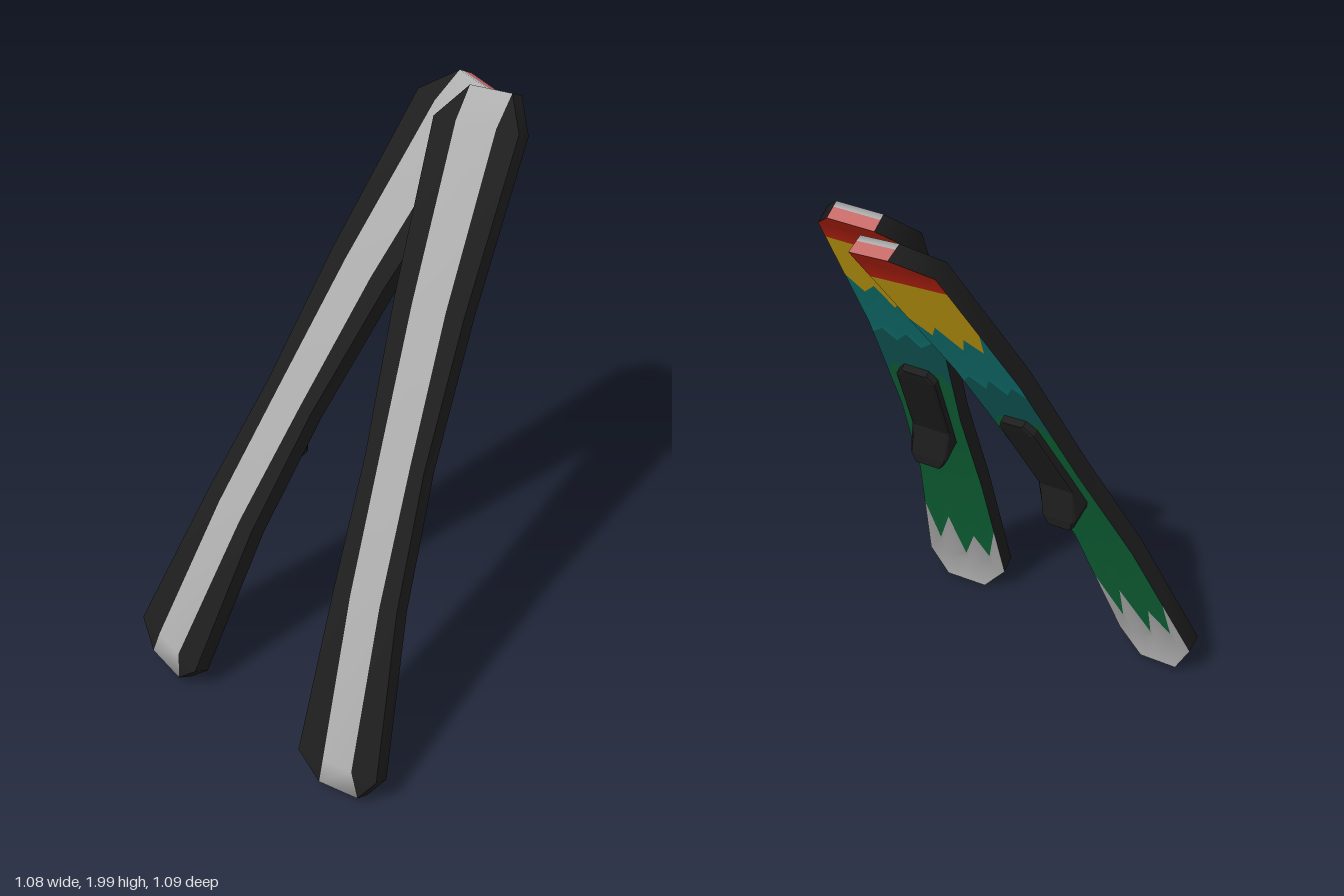
import * as THREE from 'three';

const mat = (name, color) => {
  const m = new THREE.MeshStandardMaterial({ color });
  m.name = name;
  return m;
};
const M = {
  black: mat('black', 0x1e1e1e),
  white: mat('lightGrey', 0xaeaeae),
  green: mat('green', 0x0f683a),
  darkTeal: mat('darkTeal', 0x105c5a),
  teal: mat('teal', 0x127c7a),
  yellow: mat('yellow', 0xd2aa12),
  red: mat('red', 0xcc2614),
  pink: mat('pink', 0xc46a68),
};

const THICK = 0.06;
// stations along a ski: position 0..1, bow, half width, stripe half width
const STATIONS = [
  [0, 0, 0.073, 0.073],
  [0.04, 0.04, 0.147, 0.054],
  [0.286, 0.088, 0.116, 0.054],
  [0.485, 0.09, 0.105, 0.055],
  [0.7, 0.086, 0.123, 0.059],
  [0.95, 0.044, 0.146, 0.069],
  [1, 0, 0.072, 0.072],
];
const END = STATIONS.length - 1;

function at(s) {
  let i = 0;
  while (i < END - 1 && s > STATIONS[i + 1][0]) i++;
  const a = STATIONS[i], b = STATIONS[i + 1];
  const t = (s - a[0]) / (b[0] - a[0]);
  const [bow, half, stripe] = [1, 2, 3].map((k) => a[k] + (b[k] - a[k]) * t);
  return { bow, half, stripe };
}

// sheet through rows of points, seen from the side where columns run right and rows run up
function sheet(name, rows, material, flat = false) {
  const cols = rows[0].length, index = [];
  for (let i = 0; i < rows.length - 1; i++) {
    for (let j = 0; j < cols - 1; j++) {
      const a = i * cols + j, c = a + cols;
      index.push(a, a + 1, c + 1, a, c + 1, c);
    }
  }
  let g = new THREE.BufferGeometry();
  g.setAttribute('position', new THREE.Float32BufferAttribute(rows.flat(2), 3));
  g.setIndex(index);
  if (flat) g = g.toNonIndexed();
  g.computeVertexNormals();
  const mesh = new THREE.Mesh(g, material);
  mesh.name = name;
  return mesh;
}

// borders on the painted deck: a fixed position, or a jagged row across the width
const BORDERS = [
  0,
  0.04,
  [0.185, 0.085, 0.16, 0.06, 0.125, 0.075, 0.16],
  0.286,
  0.485,
  [0.575, 0.605, 0.58, 0.615, 0.585, 0.61, 0.58],
  [0.675, 0.692, 0.67, 0.695, 0.668, 0.69, 0.672],
  0.7,
  [0.825, 0.79, 0.815, 0.768, 0.8, 0.775, 0.825],
  0.917,
  0.95,
  1,
];
const BANDS = [
  ['tailPaint', 'white', 0, 2],
  ['greenPaint', 'green', 2, 5],
  ['darkTealPaint', 'darkTeal', 5, 6],
  ['tealPaint', 'teal', 6, 8],
  ['yellowPaint', 'yellow', 8, 9],
  ['tipPaint', 'red', 9, 11],
];

function makeBinding(L) {
  const group = new THREE.Group();
  group.name = 'binding';
  // position, half width, height: flared heel, then a thin plate
  const rows = [
    [0.398, 0.05, 0.1],
    [0.412, 0.066, 0.088],
    [0.455, 0.066, 0.032],
    [0.592, 0.066, 0.03],
    [0.608, 0.042, 0.028],
  ].map(([s, w, h]) => {
    const base = at(s).bow - THICK + 0.003;
    const y = s * L;
    return [
      [w, y, base],
      [w, y, base - h * 0.85],
      [w - 0.008, y, base - h],
      [-w + 0.008, y, base - h],
      [-w, y, base - h * 0.85],
      [-w, y, base],
    ];
  });
  group.add(sheet('bindingPlate', rows, M.black, true));
  const cap = (r, flip) => {
    const pairs = [[r[0], r[5]], [r[1], r[4]], [r[2], r[3]]];
    return pairs.map((p) => (flip ? [p[1], p[0]] : p));
  };
  group.add(sheet('bindingHeelEnd', cap(rows[0], false), M.black, true));
  group.add(sheet('bindingToeEnd', cap(rows[4], true), M.black, true));
  return group;
}

function makeSki(name, bottom, top, across) {
  const ski = new THREE.Group();
  ski.name = name;
  const start = new THREE.Vector3(...bottom);
  const T = new THREE.Vector3(...top).sub(start);
  const L = T.length();
  T.normalize();
  const N = new THREE.Vector3(...across).cross(T).normalize();
  const W = T.clone().cross(N);

  // running base: centre stripe wrapping over both ends, between two dark bands
  const strip = (f) => STATIONS.map(([s, bow, w, st]) => f(w, st, bow).map(([x, z]) => [x, s * L, z]));
  const capRow = (s, z) => [-1, 1].map((side) => [side * at(s).half, s * L, z]);
  const stripe = strip((w, st, b) => [[-st, b], [st, b]]);
  ski.add(sheet('baseStripe', [capRow(0, -THICK), ...stripe, capRow(1, -0.02)], M.white));
  ski.add(sheet('tipCap', [capRow(1, -0.02), capRow(1, -THICK)], M.pink));
  ski.add(sheet('baseBandRight', strip((w, st, b) => [[-w, b], [-st, b]]), M.black));
  ski.add(sheet('baseBandLeft', strip((w, st, b) => [[st, b], [w, b]]), M.black));

  // side walls
  ski.add(sheet('sideWallLeft', strip((w, st, b) => [[w, b], [w, b - THICK]]), M.black));
  ski.add(sheet('sideWallRight', strip((w, st, b) => [[-w, b - THICK], [-w, b]]), M.black));

  // painted deck
  const borderRow = (border) => {
    const row = [];
    for (let j = 0; j <= 6; j++) {
      const s = Array.isArray(border) ? border[j] : border;
      const { bow, half } = at(s);
      row.push([half * (1 - j / 3), s * L, bow - THICK]);
    }
    return row;
  };
  for (const [band, color, a, b] of BANDS) {
    ski.add(sheet(band, BORDERS.slice(a, b + 1).map(borderRow), M[color]));
  }

  ski.add(makeBinding(L));
  ski.applyMatrix4(new THREE.Matrix4().makeBasis(W, T, N).setPosition(start));
  return ski;
}

export function createModel() {
  const model = new THREE.Group();
  model.name = 'skis';
  model.add(makeSki('rightSki', [-0.415, 0.045, 0.537], [-0.045, 1.962, -0.493], [0.985, -0.155, 0.06]));
  model.add(makeSki('leftSki', [0.402, 0.037, 0.515], [0.072, 1.995, -0.432], [0.98, 0.06, -0.2]));
  return model;
}
